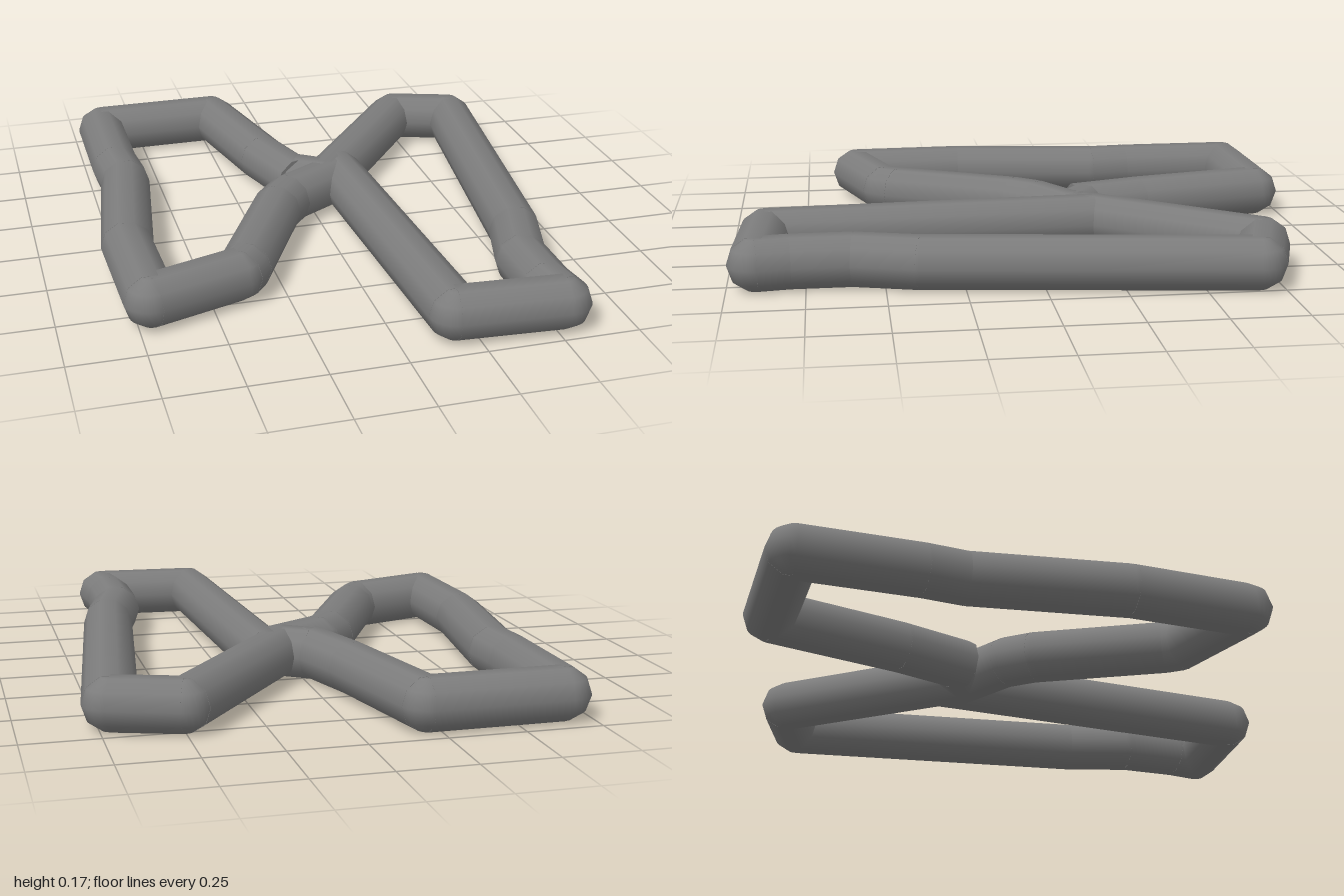
import * as THREE from 'three';

const R = 0.088;                       // tube radius
const SIDES = 10;
const Y = R * Math.sin(Math.PI * 0.4); // flat facet rests on the ground

export function createModel() {
  const group = new THREE.Group();
  group.name = 'bentTubeFrame';
  const material = new THREE.MeshStandardMaterial({ color: 0x7c7c7c });

  // Joint: the tube section revolved about the vertical, a hair lower than the tubes
  const profile = [-72, -36, 0, 36, 72].map((d) => {
    const a = THREE.MathUtils.degToRad(d);
    return new THREE.Vector2(R * Math.cos(a), R * Math.sin(a) * 0.99);
  });
  profile.unshift(new THREE.Vector2(0, profile[0].y));
  profile.push(new THREE.Vector2(0, -profile[0].y));
  const jointGeometry = new THREE.LatheGeometry(profile, 24);

  function addJoint(name, [x, z]) {
    const joint = new THREE.Mesh(jointGeometry, material);
    joint.name = name + 'Joint';
    joint.position.set(x, Y, z);
    group.add(joint);
  }

  // Straight ten-sided tube lying flat between two plan points
  function addTube(name, [x1, z1], [x2, z2]) {
    const dx = x2 - x1, dz = z2 - z1;
    const geometry = new THREE.CylinderGeometry(R, R, Math.hypot(dx, dz), SIDES);
    geometry.rotateY(Math.PI / 2); // ridges to the sides, facets up and down
    geometry.rotateX(Math.PI / 2);
    geometry.rotateY(Math.atan2(dx, dz));
    const tube = new THREE.Mesh(geometry, material);
    tube.name = name + 'Tube';
    tube.position.set((x1 + x2) / 2, Y, (z1 + z2) / 2);
    group.add(tube);
  }

  // Plan paths as [x, z]; the two ends of each path are cut flat
  const paths = {
    rightWing: [
      [-0.033, -0.2], [-0.11, -0.45], [-0.21, -0.907], [-0.657, -0.902],
      [-0.657, -0.5], [-0.645, -0.36], [-0.717, 0.16], [-0.705, 0.56],
      [-0.405, 0.46], [-0.37, 0.415], [-0.165, 0.01], [-0.1, -0.07], [0.1, -0.19],
    ],
    leftWing: [
      [0.06, -0.17], [0.5, -0.742], [0.715, -0.67], [0.575, 0.39],
      [0.515, 0.6], [0.515, 0.8], [0.53, 0.908], [0.18, 0.885], [0.126, -0.24],
    ],
    // short bridge between the wings
    crossing: [[-0.033, -0.235], [0.06, -0.17]],
  };

  for (const [name, points] of Object.entries(paths)) {
    for (let i = 1; i < points.length; i++) {
      addTube(name, points[i - 1], points[i]);
      if (i < points.length - 1) addJoint(name, points[i]);
    }
  }
  // Rounded ends of the bridge
  paths.crossing.forEach((p) => addJoint('crossing', p));

  return group;
}
